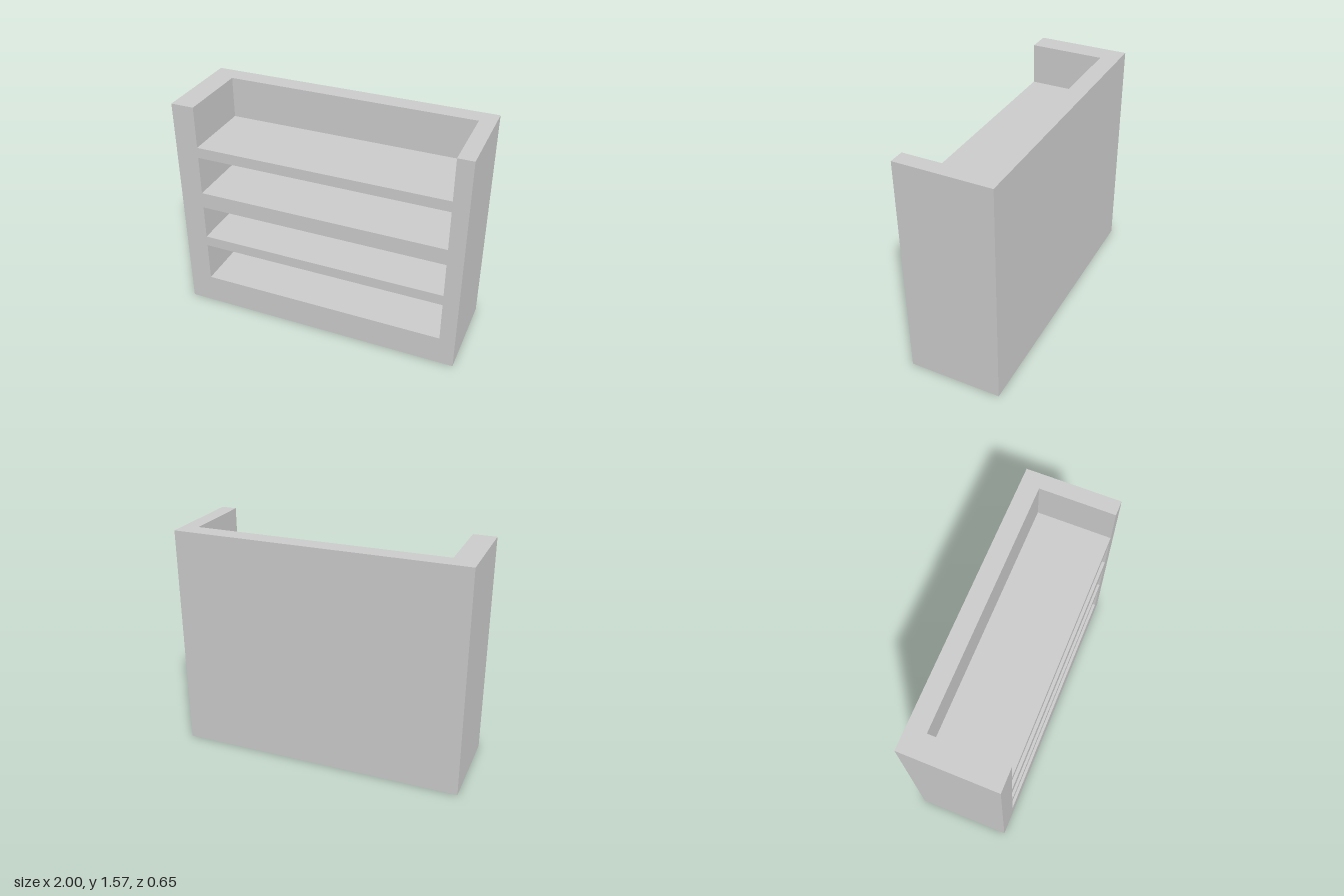
import * as THREE from 'three';

const W = 1, H = 1.57, D = 0.323;      // half width, height, half depth
const L = -0.84, R = 0.893;            // sides of the compartments
const TOP_FLOOR = 1.28;                // floor of the open top compartment
const BACK = -0.195;                   // front of the back panel

export function createModel() {
  const group = new THREE.Group();
  const material = new THREE.MeshStandardMaterial({ color: 0xcccccc, flatShading: true });
  const add = (name, geometry) => {
    const mesh = new THREE.Mesh(geometry, material);
    mesh.name = name;
    group.add(mesh);
    return mesh;
  };
  const polygon = (Type, points) => new Type(points.map(([x, y]) => new THREE.Vector2(x, y)));

  // Side walls and shelves: one outline with an open notch on top
  const outline = polygon(THREE.Shape, [
    [-W, 0], [W, 0], [W, H], [R, H], [R, TOP_FLOOR], [L, TOP_FLOOR], [L, H], [-W, H],
  ]);
  // Closed compartments, bottom and top of each
  for (const [y0, y1] of [[0.21, 0.495], [0.57, 0.815], [0.93, 1.205]]) {
    outline.holes.push(polygon(THREE.Path, [[L, y0], [L, y1], [R, y1], [R, y0]]));
  }
  const frame = new THREE.ExtrudeGeometry(outline, { depth: D - BACK, bevelEnabled: false });
  add('shelfFrame', frame.translate(0, 0, BACK));

  // Solid back panel
  const depth = BACK + D;
  add('backPanel', new THREE.BoxGeometry(2 * W, H, depth)).position.set(0, H / 2, -D + depth / 2);

  // Slightly thicker lining behind the closed compartments
  add('backLining', new THREE.BoxGeometry(R - L, TOP_FLOOR - 0.04, 0.01))
    .position.set((L + R) / 2, (TOP_FLOOR - 0.04) / 2 + 0.02, BACK + 0.005);

  return group;
}
